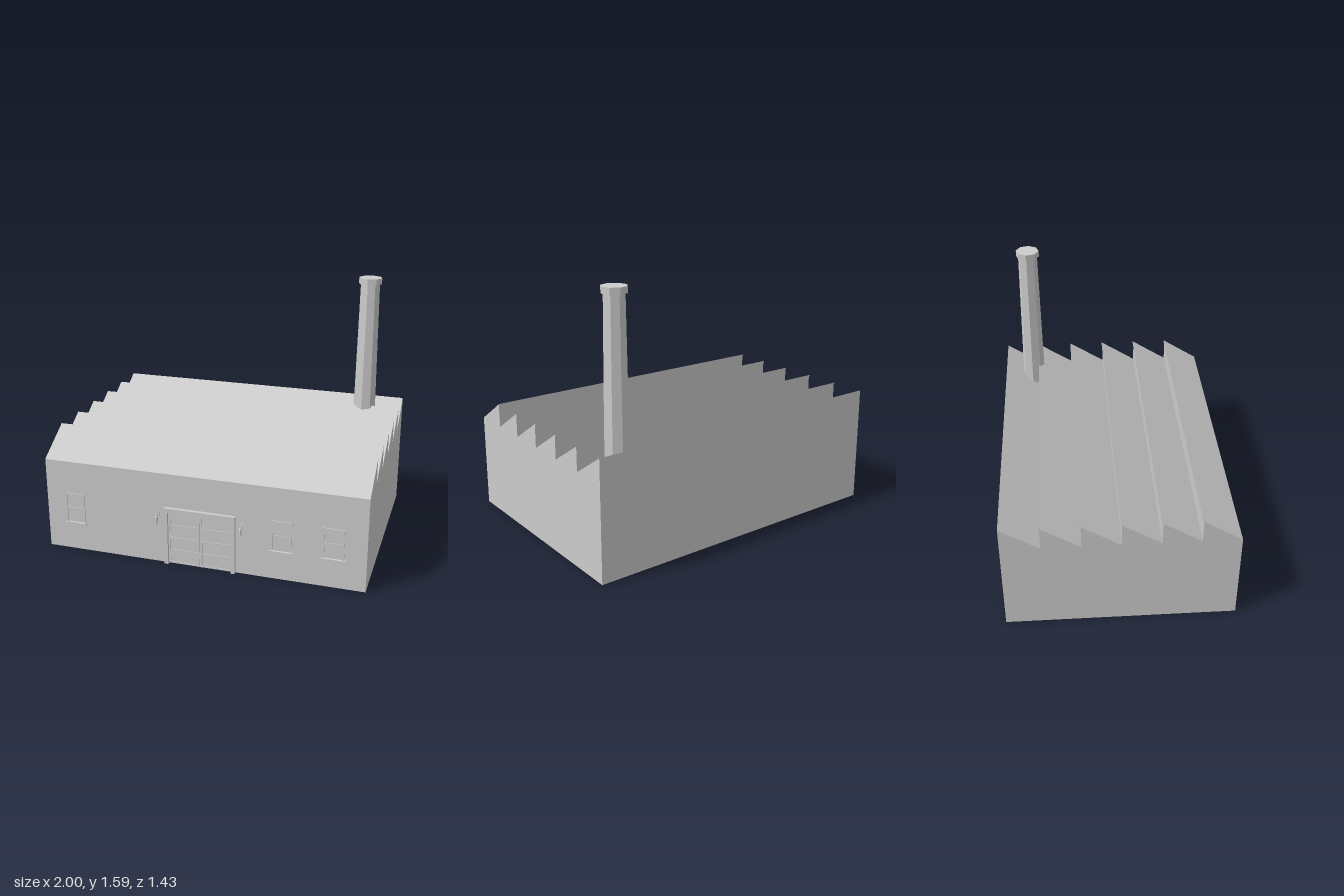
import * as THREE from 'three';

const plaster = new THREE.MeshStandardMaterial({ color: 0xcccccc, flatShading: true });
plaster.name = 'light grey';

const FRONT = 0.67, BACK = -0.711, EAVE = 0.583, PEAK = 0.735, TEETH = 6;

function add(parent, name, geometry, x = 0, y = 0, z = 0) {
  const mesh = new THREE.Mesh(geometry, plaster);
  mesh.name = name;
  mesh.position.set(x, y, z);
  parent.add(mesh);
  return mesh;
}

// Box given by its extents; it starts at the front wall unless told otherwise
function slab(parent, name, x0, x1, y0, y1, depth, z0 = FRONT) {
  return add(parent, name, new THREE.BoxGeometry(x1 - x0, y1 - y0, depth),
    (x0 + x1) / 2, (y0 + y1) / 2, z0 + depth / 2);
}

// Side profile with a sawtooth roof, extruded across the width
function createHall() {
  const shape = new THREE.Shape();
  const step = (FRONT - BACK) / TEETH;
  shape.moveTo(-FRONT, 0);
  shape.lineTo(-FRONT, EAVE);
  for (let i = 1; i <= TEETH; i++) {
    const s = -FRONT + i * step;
    const last = i === TEETH;
    const lip = last ? 0 : 0.006;
    shape.lineTo(s + lip, PEAK);
    if (!last) {
      shape.lineTo(s + lip, PEAK - 0.007);
      shape.lineTo(s, PEAK - 0.007);
      shape.lineTo(s, EAVE);
    }
  }
  shape.lineTo(-BACK, 0);
  const geometry = new THREE.ExtrudeGeometry(shape, { depth: 2, bevelEnabled: false });
  geometry.translate(0, 0, -1);
  geometry.rotateY(Math.PI / 2); // profile x becomes -z
  return geometry;
}

function createWindow(x) {
  const g = new THREE.Group();
  g.name = 'window';
  const w = 0.062, y0 = 0.185, y1 = 0.375, t = 0.008;
  slab(g, 'windowSill', x - 0.07, x + 0.07, 0.177, y0, 0.015);
  slab(g, 'windowHead', x - w, x + w, y1 - t, y1, 0.006);
  slab(g, 'windowMiddleBar', x - w, x + w, 0.276, 0.282, 0.004);
  for (const s of [-1, 1]) {
    const c = x + s * (w - t / 2);
    slab(g, 'windowJamb', c - t / 2, c + t / 2, y0, y1, 0.006);
  }
  return g;
}

function createDoor() {
  const g = new THREE.Group();
  g.name = 'door';
  // Surround
  const frame = new THREE.Shape();
  frame.moveTo(-0.222, 0);
  frame.lineTo(-0.198, 0);
  frame.lineTo(-0.198, 0.342);
  frame.lineTo(0.198, 0.342);
  frame.lineTo(0.198, 0);
  frame.lineTo(0.222, 0);
  frame.lineTo(0.222, 0.37);
  frame.lineTo(-0.222, 0.37);
  add(g, 'doorFrame', new THREE.ExtrudeGeometry(frame, { depth: 0.023, bevelEnabled: false }), 0, 0, FRONT);
  // Two leaves, each framed by rails and stiles
  for (const s of [-1, 1]) {
    const a = s < 0 ? -0.198 : 0.003, b = s < 0 ? -0.003 : 0.198;
    slab(g, 'doorLeaf', a, b, 0.003, 0.342, 0.002);
    for (const x of [a, b - 0.012]) slab(g, 'doorStile', x, x + 0.012, 0.003, 0.342, 0.007);
    for (let i = 0; i < 5; i++) {
      const y = 0.003 + i * 0.0815;
      slab(g, 'doorRail', a, b, y, y + 0.012, 0.006);
    }
  }
  return g;
}

function createLamp(x) {
  const g = new THREE.Group();
  g.name = 'wallLamp';
  slab(g, 'lampPlate', x - 0.006, x + 0.006, 0.305, 0.335, 0.004);
  slab(g, 'lampArm', x - 0.003, x + 0.003, 0.321, 0.327, 0.037);
  add(g, 'lampCap', new THREE.CylinderGeometry(0.003, 0.011, 0.014, 6), x, 0.317, 0.705);
  add(g, 'lampBody', new THREE.CylinderGeometry(0.009, 0.007, 0.04, 6), x, 0.291, 0.705);
  return g;
}

function createChimney() {
  const g = new THREE.Group();
  g.name = 'chimney';
  add(g, 'chimneyShaft', new THREE.CylinderGeometry(0.063, 0.0755, 0.97, 8), 0, 1.065, 0);
  add(g, 'chimneyCap', new THREE.CylinderGeometry(0.076, 0.076, 0.038, 8), 0, 1.569, 0);
  g.position.set(0.766, 0, -0.523);
  g.rotation.y = -0.12;
  return g;
}

export function createModel() {
  const model = new THREE.Group();
  model.name = 'factory';
  add(model, 'hall', createHall());
  model.add(createChimney(), createDoor());
  for (const x of [-0.81, 0.5, 0.807]) model.add(createWindow(x));
  for (const x of [-0.262, 0.262]) model.add(createLamp(x));
  return model;
}
